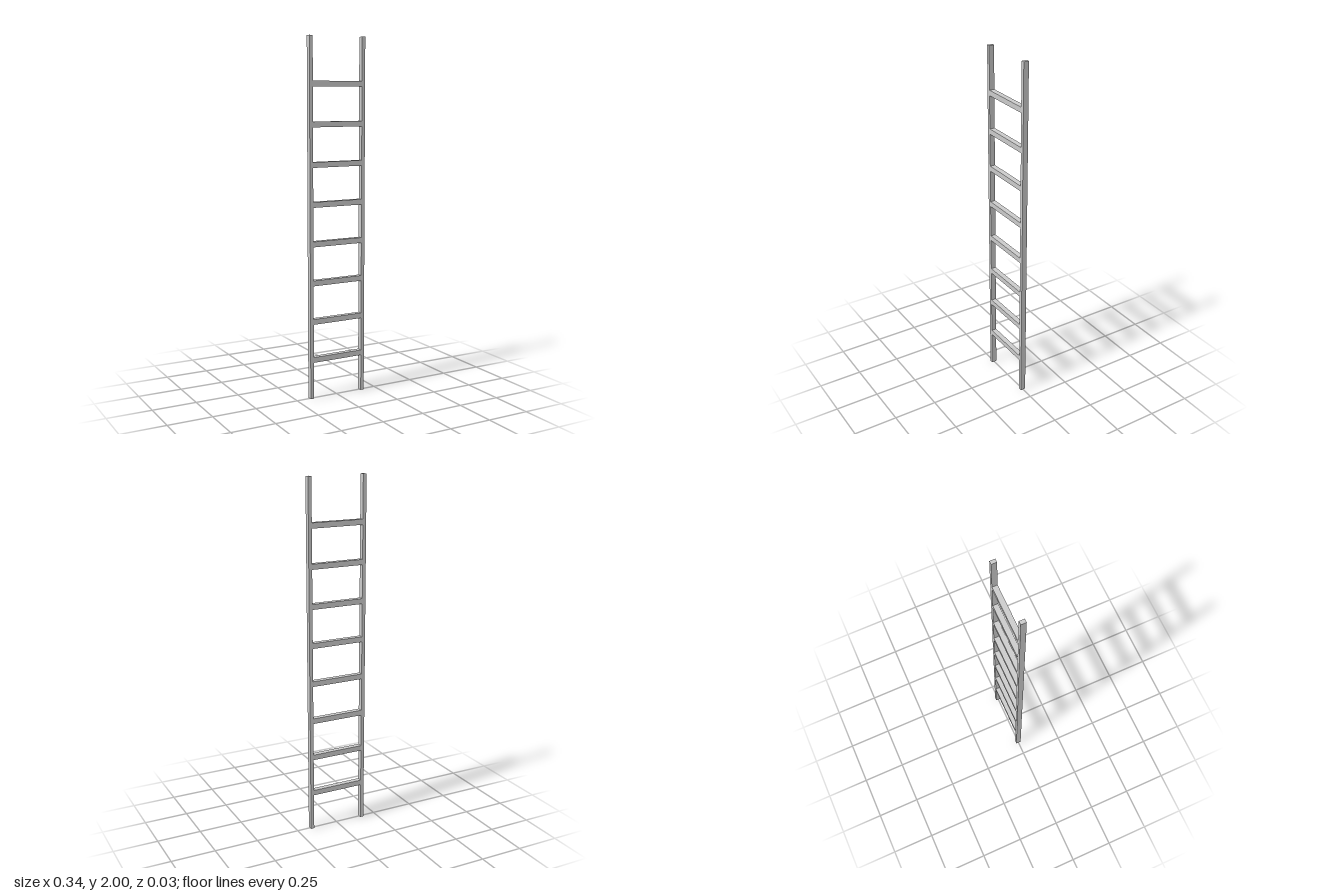
import * as THREE from 'three';

const RAIL_WIDTH = 0.02, DEPTH = 0.03, HEIGHT = 2, HALF_WIDTH = 0.172;
const RUNG_COUNT = 8, FIRST_RUNG = 0.223, RUNG_SPACING = 0.2176, RUNG_HEIGHT = 0.03;

export function createModel() {
  const ladder = new THREE.Group();
  ladder.name = 'ladder';
  const material = new THREE.MeshStandardMaterial({ color: 0xcccccc, flatShading: true });

  const addBox = (name, geometry, x, y) => {
    const mesh = new THREE.Mesh(geometry, material);
    mesh.name = name;
    mesh.position.set(x, y, 0);
    ladder.add(mesh);
  };

  // Two upright side rails
  const railGeometry = new THREE.BoxGeometry(RAIL_WIDTH, HEIGHT, DEPTH);
  for (const side of [-1, 1]) {
    addBox(side > 0 ? 'leftRail' : 'rightRail', railGeometry, side * (HALF_WIDTH - RAIL_WIDTH / 2), HEIGHT / 2);
  }

  // Evenly spaced rungs fitted between the rails
  const rungGeometry = new THREE.BoxGeometry(2 * (HALF_WIDTH - RAIL_WIDTH), RUNG_HEIGHT, DEPTH);
  for (let i = 0; i < RUNG_COUNT; i++) {
    addBox(`rung${i + 1}`, rungGeometry, 0, FIRST_RUNG + i * RUNG_SPACING);
  }

  return ladder;
}
